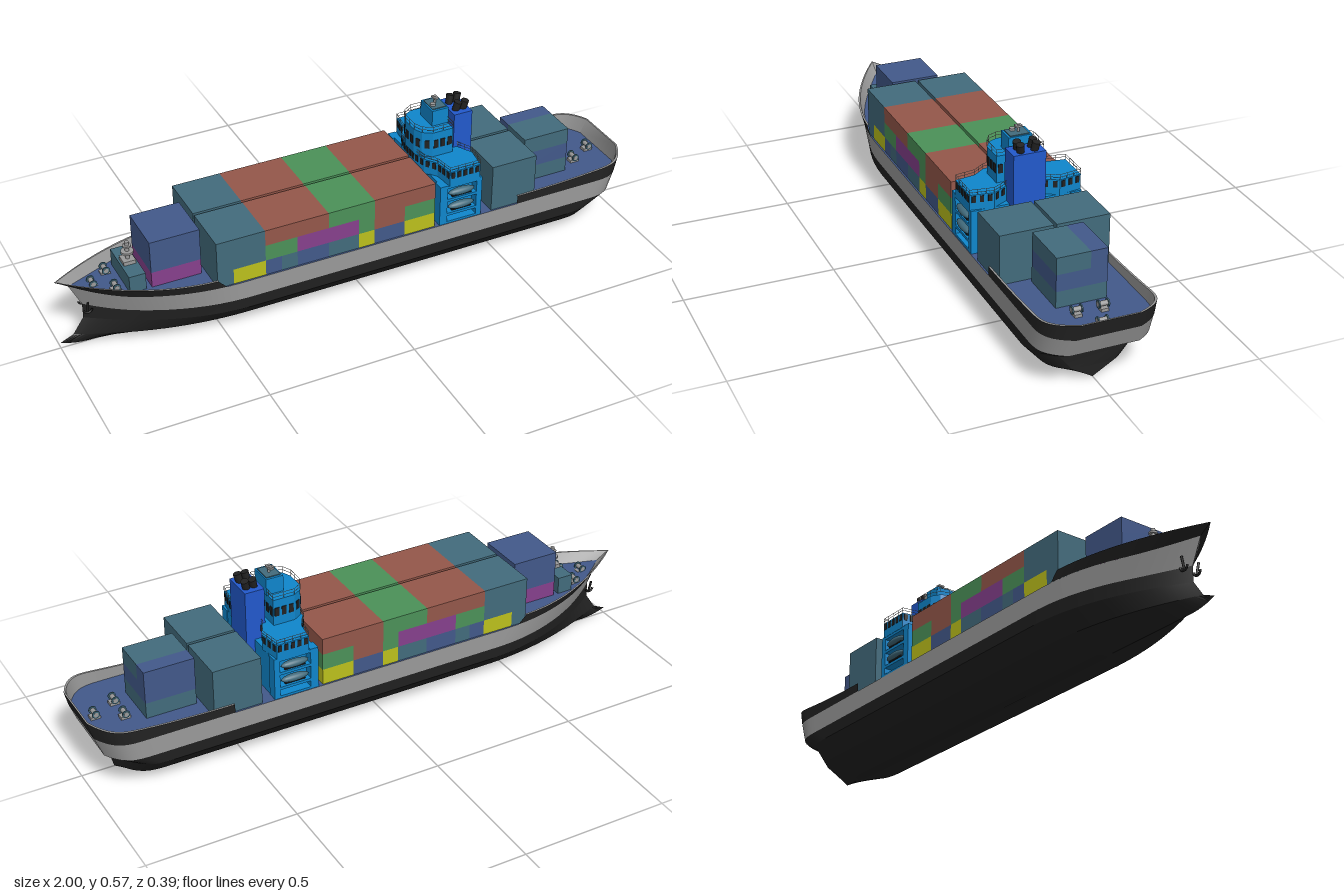
import * as THREE from 'three';
import { toCreasedNormals } from 'three/addons/utils/BufferGeometryUtils.js';

const COLORS = {
  black: 0x222222, grey: 0x9a9a9a, deckBlue: 0x42598a, teal: 0x426b7c, red: 0x94574a,
  green: 0x4b9158, purple: 0x86408c, yellow: 0xbcc01c, skyBlue: 0x0f86cc, royalBlue: 0x2259cc,
};

export function createModel() {
  const ship = new THREE.Group();
  ship.name = 'containerShip';
  const mats = {};
  for (const [name, color] of Object.entries(COLORS)) {
    mats[name] = new THREE.MeshStandardMaterial({ color });
    mats[name].name = name;
  }
  const add = (name, geo, mat) => {
    const m = new THREE.Mesh(geo, mats[mat]);
    m.name = name;
    ship.add(m);
    return m;
  };
  // box given by its min and max on each axis
  const box = (name, mat, x0, x1, y0, y1, z0, z1) => {
    const m = add(name, new THREE.BoxGeometry(x1 - x0, y1 - y0, z1 - z0), mat);
    m.position.set((x0 + x1) / 2, (y0 + y1) / 2, (z0 + z1) / 2);
    return m;
  };
  // cylinder between two points
  const rod = (name, mat, a, b, r, sides = 12, r2 = r) => {
    const p = new THREE.Vector3(...a), q = new THREE.Vector3(...b), d = q.clone().sub(p);
    const m = add(name, new THREE.CylinderGeometry(r2, r, d.length(), sides), mat);
    m.position.copy(p).add(q).multiplyScalar(0.5);
    m.quaternion.setFromUnitVectors(new THREE.Vector3(0, 1, 0), d.normalize());
    return m;
  };

  // ---- hull: horizontal rows, each [bow x, stern x, bow length, half width, stern fraction, height rule]
  const rise = (x, from, amount) => amount * Math.max(0, (from - x) / (1 + from)) ** 2;
  const rows = [
    [-1, 0.89, 0.5, 0, 1, x => rise(x, -0.9, 0.02)],
    [-0.955, 0.89, 0.55, 0.135, 0.5, () => 0.04],
    [-0.918, 0.89, 0.52, 0.183, 0.6, () => 0.095],
    [-0.918, 0.96, 0.5, 0.187, 0.6, x => 0.137 + rise(x, -0.75, 0.025)],
    [-0.957, 0.985, 0.5, 0.188, 0.55, x => 0.202 + rise(x, -0.75, 0.04)],
    [-1, 1, 0.5, 0.188, 0.5, x => (x < 0 ? 0.232 + rise(x, -0.53, 0.024) : 0.232 + 0.026 * Math.max(0, (x - 0.55) / 0.45) ** 2)],
  ];
  const rowPoint = (r, inset = 0) => (u, side) => {
    const [tip, end, bowLen, w, frac, y] = rows[r];
    const x = tip + (end - tip) * u;
    const f = 1 - Math.max(0, 1 - (x - tip) / bowLen) ** 2;
    const g = frac + (1 - frac) * (1 - Math.max(0, 1 - (end - x) / 0.15) ** 4);
    return [x * (1 - inset * 0.15), y(x), side * w * f * g * (1 - inset)];
  };
  const N = 56;
  const run = (u0, u1, side) => Array.from({ length: N + 1 }, (_, i) => {
    const c = (1 - Math.cos(Math.PI * i / N)) / 2;
    return [u0 + (u1 - u0) * c, side];
  });
  const strip = (name, mat, path, lower, upper) => {
    const pos = [], idx = [];
    path.forEach(([u, s], i) => {
      pos.push(...lower(u, s), ...upper(u, s));
      const k = i * 2;
      if (i < path.length - 1) idx.push(k, k + 2, k + 3, k, k + 3, k + 1);
    });
    const g = new THREE.BufferGeometry();
    g.setAttribute('position', new THREE.Float32BufferAttribute(pos, 3));
    g.setIndex(idx);
    return add(name, toCreasedNormals(g, 0.6), mat);
  };
  const around = [...run(0, 1, 1), ...run(1, 0, -1)];
  ['keelPlating', 'bilgePlating', 'lowerHull', 'hullBand'].forEach((name, r) =>
    strip(name, r === 3 ? 'grey' : 'black', around, rowPoint(r), rowPoint(r + 1)));
  const port = rowPoint(4);
  strip('deck', 'deckBlue', run(0, 1, 1), port, u => port(u, -1));

  // raised bulwarks at bow and stern, grey inside
  const ends = {
    bow: [...run(0.235, 0, -1), ...run(0, 0.235, 1)],
    stern: [...run(0.775, 1, 1), ...run(1, 0.775, -1)],
  };
  for (const [n, path] of Object.entries(ends)) {
    strip(n + 'Bulwark', 'black', path, rowPoint(4), rowPoint(5));
    strip(n + 'BulwarkRim', 'grey', path, rowPoint(5), rowPoint(5, 0.035));
    strip(n + 'BulwarkInside', 'grey', path, rowPoint(5, 0.035), rowPoint(4, 0.035));
  }

  // ---- containers: tiers from the bottom up, each a list of [start x, colour]
  const Y0 = 0.2, TIER = 0.0565;
  const stack = (tiers, xEnd, z0, z1) => tiers.forEach((tier, t) => tier.forEach(([x, mat], i) =>
    box('container', mat, x, i + 1 < tier.length ? tier[i + 1][0] : xEnd,
      Y0 + t * TIER, Y0 + (t + 1) * TIER, z0, z1)));
  const mainTiers = [
    [[-0.53, 'teal'], [-0.475, 'yellow'], [-0.365, 'deckBlue'], [-0.31, 'teal'], [-0.255, 'deckBlue'],
      [-0.145, 'teal'], [-0.038, 'yellow'], [0.018, 'deckBlue'], [0.127, 'yellow']],
    [[-0.53, 'teal'], [-0.365, 'green'], [-0.255, 'purple'], [-0.038, 'green'], [0.018, 'red'], [0.127, 'green']],
    [[-0.53, 'teal'], [-0.365, 'red'], [-0.145, 'green'], [0.018, 'red']],
  ];
  for (const [z0, z1] of [[0.005, 0.182], [-0.182, -0.005]]) {
    stack(mainTiers, 0.238, z0, z1);
    stack([[[0.452, 'teal']], [[0.452, 'teal']], [[0.452, 'teal']]], 0.617, z0, z1);
  }
  stack([[[-0.712, 'purple']], [[-0.712, 'deckBlue']], [[-0.712, 'deckBlue']]], -0.545, -0.085, 0.085);
  stack([[[0.632, 'teal']], [[0.632, 'deckBlue']], [[0.632, 'teal']]], 0.802, -0.028, 0.083);
  stack([[[0.632, 'teal']], [[0.632, 'deckBlue']], [[0.632, 'deckBlue']]], 0.802, -0.083, -0.028);

  // ---- superstructure
  box('accommodationBlock', 'skyBlue', 0.262, 0.408, 0.2, 0.35, -0.155, 0.155);
  for (const s of [1, -1]) {
    const z0 = Math.min(s * 0.15, s * 0.186), z1 = Math.max(s * 0.15, s * 0.186);
    box('frontPillar', 'skyBlue', 0.255, 0.282, 0.2, 0.35, z0, z1);
    box('rearPillar', 'skyBlue', 0.39, 0.41, 0.2, 0.35, z0, z1);
    for (const y of [0.2, 0.232, 0.287, 0.338]) box('sideBalcony', 'skyBlue', 0.28, 0.392, y, y + 0.01, z0, z1);
    for (const y of [0.262, 0.315]) {
      const boat = add('lifeboat', new THREE.SphereGeometry(1, 20, 12), 'teal');
      boat.scale.set(0.048, 0.013, 0.014);
      boat.position.set(0.336, y, s * 0.18);
      box('lifeboatKeel', 'black', 0.3, 0.372, y - 0.015, y - 0.011, s * 0.18 - 0.004, s * 0.18 + 0.004);
    }
  }

  // plan outlines are half [x, z] lists from front to back, mirrored
  const mirrorPlan = half => [...half, ...half.slice().reverse().map(([x, z]) => [x, -z])];
  const prism = (name, mat, plan, y0, y1) => {
    const shape = new THREE.Shape(plan.map(([x, z]) => new THREE.Vector2(x, -z)));
    const g = new THREE.ExtrudeGeometry(shape, { depth: y1 - y0, bevelEnabled: false });
    g.rotateX(-Math.PI / 2).translate(0, y0, 0);
    return add(name, g, mat);
  };
  const edges = plan => plan.map((p, i) => [p, plan[(i + 1) % plan.length]]);
  const windows = (plan, y, h, w, gap) => edges(plan).forEach(([a, b]) => {
    const dx = b[0] - a[0], dz = b[1] - a[1], len = Math.hypot(dx, dz), n = Math.floor(len / (w + gap));
    for (let i = 0; i < n; i++) {
      const t = (i + 0.5) / n;
      const m = add('window', new THREE.BoxGeometry(w, h, 0.004), 'black');
      m.position.set(a[0] + dx * t, y, a[1] + dz * t);
      m.rotation.y = -Math.atan2(dz, dx);
    }
  });
  const railing = (plan, y, h) => edges(plan).forEach(([a, b]) => {
    const n = Math.max(1, Math.round(Math.hypot(b[0] - a[0], b[1] - a[1]) / 0.03));
    for (let i = 0; i < n; i++) {
      const x = a[0] + (b[0] - a[0]) * i / n, z = a[1] + (b[1] - a[1]) * i / n;
      rod('railPost', 'grey', [x, y, z], [x, y + h, z], 0.0008, 5);
    }
    for (const f of [0.5, 1]) rod('rail', 'grey', [a[0], y + h * f, a[1]], [b[0], y + h * f, b[1]], 0.0008, 5);
  });
  const wingPlan = mirrorPlan([[0.24, 0.03], [0.25, 0.08], [0.278, 0.12], [0.288, 0.187], [0.4, 0.187], [0.412, 0.11], [0.385, 0.06]]);
  prism('bridgeWings', 'skyBlue', wingPlan, 0.347, 0.401);
  windows(wingPlan, 0.386, 0.022, 0.013, 0.007);
  railing(wingPlan, 0.401, 0.018);
  const housePlan = mirrorPlan([[0.237, 0.03], [0.25, 0.06], [0.28, 0.079], [0.355, 0.079]]);
  prism('wheelhouse', 'skyBlue', housePlan, 0.4, 0.492);
  windows(housePlan, 0.448, 0.03, 0.016, 0.007);
  railing(housePlan, 0.492, 0.022);
  box('radarHouse', 'skyBlue', 0.298, 0.358, 0.49, 0.548, -0.04, 0.04);
  box('radarHouseRoof', 'teal', 0.303, 0.353, 0.547, 0.551, -0.032, 0.032);
  rod('radarMast', 'grey', [0.33, 0.55, -0.004], [0.33, 0.575, -0.004], 0.004);
  box('radarBar', 'grey', 0.322, 0.338, 0.567, 0.573, -0.015, 0.007);
  rod('radarDisc', 'grey', [0.315, 0.551, 0.01], [0.315, 0.559, 0.01], 0.009);

  // funnel and its exhaust pipes
  box('funnel', 'royalBlue', 0.37, 0.437, 0.2, 0.525, -0.05, 0.058);
  for (const s of [1, -1]) for (const x of [0.386, 0.412])
    rod('exhaustPipe', 'black', [x, 0.5, s * 0.02 + 0.004], [x + 0.012, 0.554, s * 0.027 + 0.004], 0.011, 14, 0.013);

  // ---- foredeck house and mast
  box('foredeckHouse', 'teal', -0.785, -0.73, 0.2, 0.262, -0.085, 0.085);
  box('mastBase', 'grey', -0.778, -0.737, 0.262, 0.275, -0.022, 0.022);
  rod('foremast', 'grey', [-0.757, 0.27, 0], [-0.757, 0.336, 0], 0.007);
  rod('mastPlatform', 'grey', [-0.757, 0.296, 0], [-0.757, 0.303, 0], 0.021);
  rod('mastHead', 'grey', [-0.757, 0.318, 0], [-0.757, 0.324, 0], 0.014);

  // deck winches
  for (const [x, z] of [[-0.82, 0.05], [-0.82, -0.05], [-0.88, 0], [0.858, 0.043], [0.858, -0.043], [0.94, 0]]) {
    box('winchBase', 'grey', x - 0.016, x + 0.016, 0.2, 0.212, z - 0.012, z + 0.012);
    rod('winchDrum', 'grey', [x, 0.222, z - 0.018], [x, 0.222, z + 0.018], 0.008);
    for (const e of [-0.015, 0.015]) rod('winchFlange', 'teal', [x, 0.222, z + e - 0.002], [x, 0.222, z + e + 0.002], 0.013);
  }

  // anchors
  for (const s of [1, -1]) {
    rod('anchorShank', 'black', [-0.908, 0.13, s * 0.024], [-0.908, 0.172, s * 0.034], 0.004, 8);
    const arms = add('anchorArms', new THREE.TorusGeometry(0.014, 0.0035, 8, 14, Math.PI), 'black');
    arms.position.set(-0.908, 0.142, s * 0.026);
    arms.rotation.z = Math.PI;
  }
  return ship;
}
